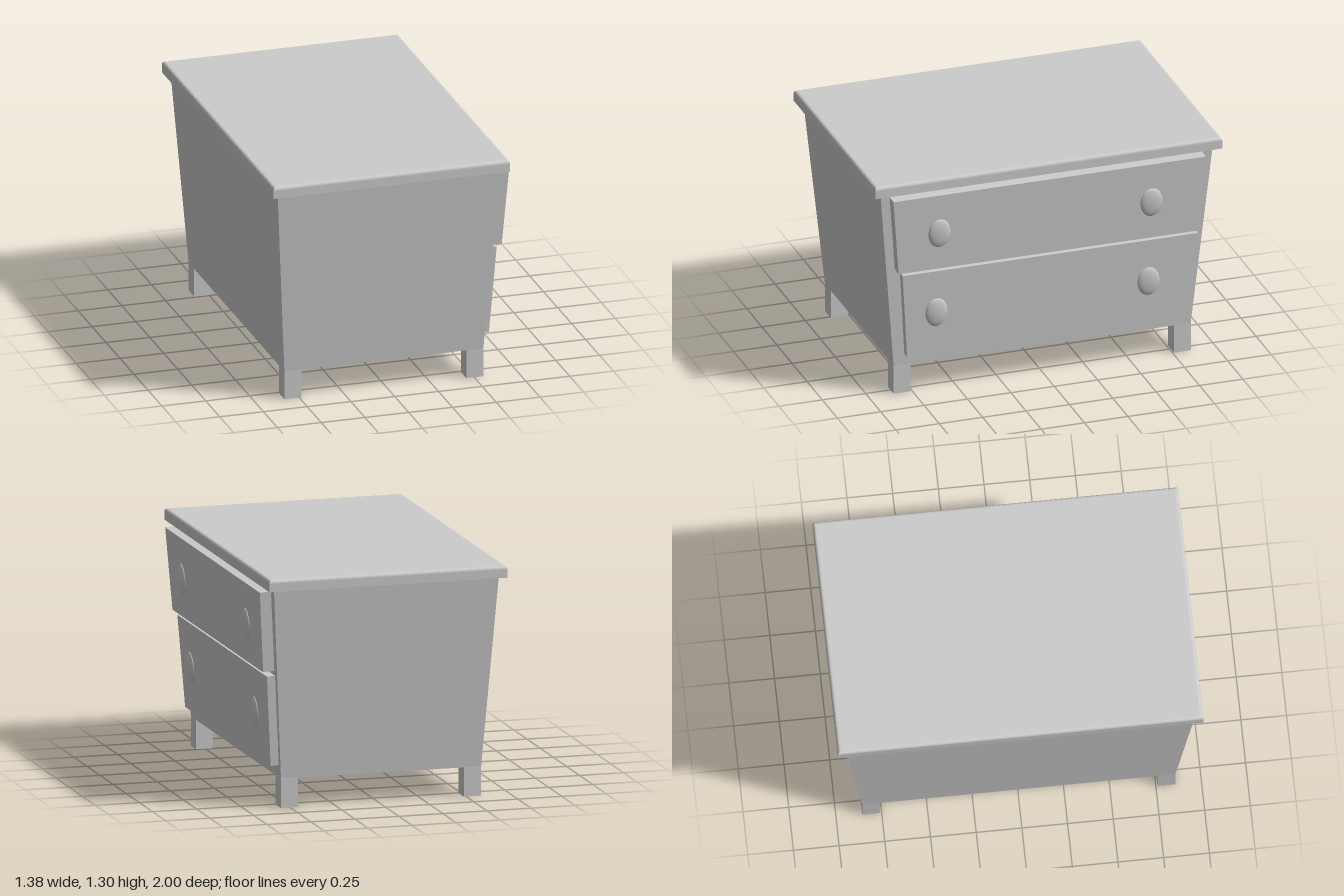
import * as THREE from 'three';

// Solid through rectangular sections [y, x0, x1, z0, z1], listed from bottom to top
function loft(sections) {
  const pos = [], idx = [];
  for (const [y, x0, x1, z0, z1] of sections) pos.push(x0, y, z1, x1, y, z1, x1, y, z0, x0, y, z0);
  const n = sections.length;
  for (let s = 0; s < n - 1; s++) {
    for (let i = 0; i < 4; i++) {
      const a = s * 4 + i, b = s * 4 + (i + 1) % 4;
      idx.push(a, b, b + 4, a, b + 4, a + 4);
    }
  }
  const t = (n - 1) * 4;
  idx.push(0, 2, 1, 0, 3, 2, t, t + 1, t + 2, t, t + 2, t + 3);
  const g = new THREE.BufferGeometry();
  g.setAttribute('position', new THREE.Float32BufferAttribute(pos, 3));
  g.setIndex(idx);
  const flat = g.toNonIndexed();
  flat.computeVertexNormals();
  return flat;
}

export function createModel() {
  const group = new THREE.Group();
  const mat = new THREE.MeshStandardMaterial({ color: 0xcccccc });
  const add = (name, geo, parent = group) => {
    const m = new THREE.Mesh(geo, mat);
    m.name = name;
    parent.add(m);
    return m;
  };

  // Tapered cabinet
  add('body', loft([
    [0.163, -0.585, 0.552, -0.855, 0.857],
    [1.235, -0.655, 0.622, -0.957, 0.957],
  ]));

  // Top board with rounded upper edges
  const r = 0.018, top = [[1.235, -0.692, 0.66, -1, 1]];
  for (let i = 0; i <= 5; i++) {
    const a = i / 5 * Math.PI / 2, d = r * (1 - Math.cos(a));
    top.push([1.3 - r + r * Math.sin(a), -0.692 + d, 0.66 - d, -1 + d, 1 - d]);
  }
  add('topBoard', loft(top));

  // Legs
  for (const x of [-0.535, 0.504]) {
    for (const z of [-0.807, 0.808]) {
      add('leg', new THREE.BoxGeometry(0.098, 0.165, 0.098)).position.set(x, 0.0825, z);
    }
  }

  // Drawer fronts leaning with the +x face, each with two flattened oval knobs
  const drawers = [
    { name: 'upperDrawer', x: 0.655, y: 0.762, h: 0.452, depth: 0.067, low: [-0.861, 0.864], high: [-0.896, 0.904], knobY: 0.219 },
    { name: 'lowerDrawer', x: 0.603, y: 0.231, h: 0.508, depth: 0.048, low: [-0.829, 0.797], high: [-0.869, 0.834], knobY: 0.255 },
  ];
  for (const d of drawers) {
    const drawer = new THREE.Group();
    drawer.name = d.name;
    drawer.position.set(d.x, d.y, 0);
    drawer.rotation.z = -0.065;
    group.add(drawer);
    add('drawerFront', loft([[0, -d.depth, 0, ...d.low], [d.h, -d.depth, 0, ...d.high]]), drawer);
    for (const z of [-0.588, 0.634]) {
      const knob = add('knob', new THREE.SphereGeometry(1, 32, 20), drawer);
      knob.scale.set(0.019, 0.085, 0.063);
      knob.position.set(0, d.knobY, z);
    }
  }
  return group;
}
